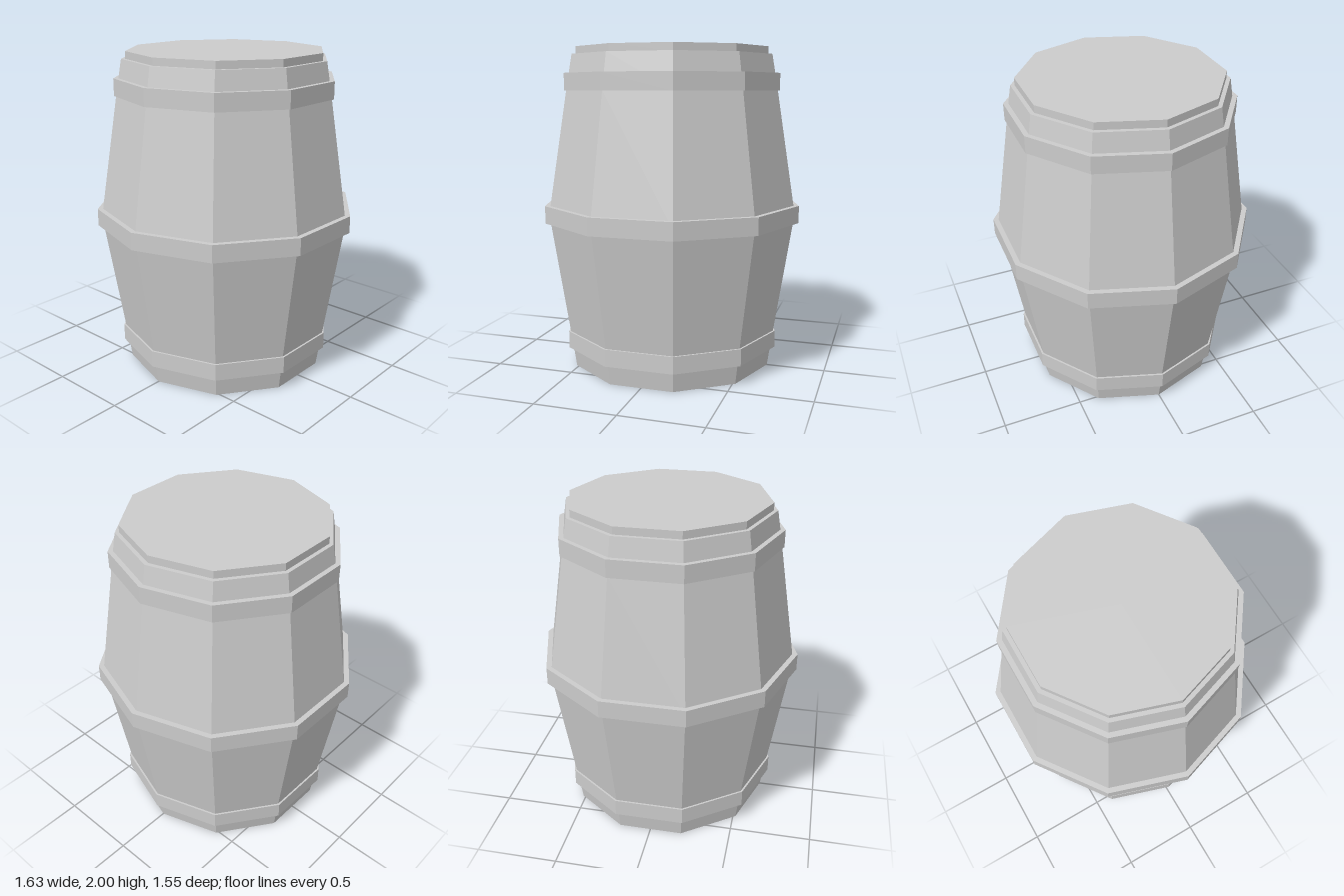
import * as THREE from 'three';

const SIDES = 10;

// Faceted ten-sided solid of revolution with corners on the x axis
function facetedLathe(profile) {
  const points = profile.map(([r, y]) => new THREE.Vector2(r, y));
  const geometry = new THREE.LatheGeometry(points, SIDES, Math.PI / 2).toNonIndexed();
  geometry.computeVertexNormals();
  return geometry;
}

export function createModel() {
  const model = new THREE.Group();
  model.name = 'barrel';
  const grey = new THREE.MeshStandardMaterial({ color: 0xcccccc });
  grey.name = 'light grey';

  const add = (name, profile) => {
    const mesh = new THREE.Mesh(facetedLathe(profile), grey);
    mesh.name = name;
    model.add(mesh);
  };

  // Bulging staves with closed bottom and top
  add('staves', [[0, 0], [0.638, 0], [0.673, 0.23], [0.792, 0.985], [0.672, 1.74], [0.635, 1.955], [0, 1.955]]);

  // Slightly inset lid
  add('lid', [[0.61, 1.95], [0.61, 2], [0, 2]]);

  // Hoops: bottom, middle, top
  const hoops = [
    ['bottomHoop', 0.685, 0.62, 0.125, 0.23],
    ['middleHoop', 0.817, 0.75, 0.93, 1.037],
    ['topHoop', 0.685, 0.62, 1.737, 1.842],
  ];
  for (const [name, outer, inner, y0, y1] of hoops) {
    add(name, [[inner, y0], [outer, y0], [outer, y1], [inner, y1]]);
  }
  return model;
}
